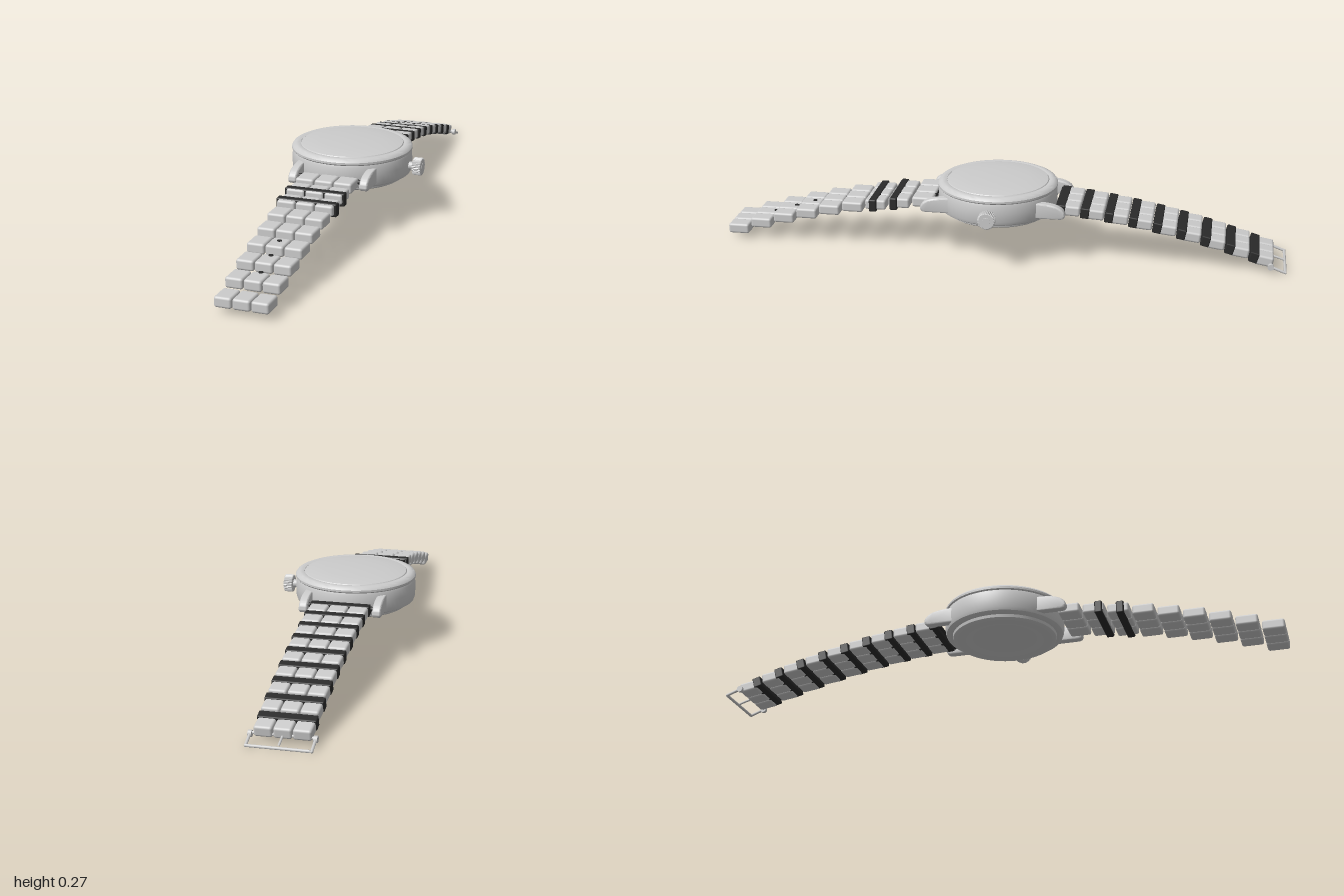
import * as THREE from 'three';
import { toCreasedNormals } from 'three/addons/utils/BufferGeometryUtils.js';
import { RoundedBoxGeometry } from 'three/addons/geometries/RoundedBoxGeometry.js';

const CX = -0.024, CZ = 0.02; // centre of the case

export function createModel() {
  const root = new THREE.Group();
  root.name = 'wristwatch';
  const steel = new THREE.MeshStandardMaterial({ color: 0xcccccc });
  steel.name = 'steel';
  const dark = new THREE.MeshStandardMaterial({ color: 0x2b2b2b });
  dark.name = 'dark leather';

  const add = (name, geo, mat, x = 0, y = 0, z = 0, parent = root) => {
    const m = new THREE.Mesh(geo, mat);
    m.name = name;
    m.position.set(x, y, z);
    parent.add(m);
    return m;
  };
  const lathe = pts => toCreasedNormals(
    new THREE.LatheGeometry(pts.map(p => new THREE.Vector2(...p)), 72), 0.6);

  // Case, bezel and domed glass
  add('case', lathe([[0, 0.146], [0.12, 0.146], [0.135, 0.139], [0.15, 0.137], [0.175, 0.138],
    [0.183, 0.143], [0.185, 0.153], [0.198, 0.154], [0.206, 0.159], [0.21, 0.17],
    [0.2115, 0.2], [0.21, 0.228], [0.207, 0.236], [0.19, 0.237]]), steel, CX, 0, CZ);
  add('bezel', lathe([[0.2, 0.234], [0.208, 0.235], [0.212, 0.239], [0.212, 0.246],
    [0.207, 0.253], [0.198, 0.257], [0.188, 0.258], [0.181, 0.256], [0.18, 0.25]]), steel, CX, 0, CZ);
  add('glass', lathe([[0.182, 0.253], [0.178, 0.258], [0.15, 0.262], [0.11, 0.2645],
    [0.06, 0.2665], [0, 0.267]]), steel, CX, 0, CZ);

  // Knurled crown on its stem
  const knurl = new THREE.Shape();
  const teeth = 32;
  for (let i = 0; i < teeth * 2; i++) {
    const a = i * Math.PI / teeth, r = i % 2 ? 0.0265 : 0.0285;
    knurl[i ? 'lineTo' : 'moveTo'](r * Math.cos(a), r * Math.sin(a));
  }
  knurl.closePath();
  const crown = new THREE.ExtrudeGeometry(knurl, {
    depth: 0.024, bevelSize: 0.003, bevelThickness: 0.004, bevelOffset: -0.001, bevelSegments: 2 });
  crown.rotateY(Math.PI / 2);
  add('crown', crown, steel, 0.207, 0.192, CZ);
  const cap = new THREE.CylinderGeometry(0.013, 0.015, 0.004, 24).rotateZ(-Math.PI / 2);
  add('crownCap', cap, steel, 0.234, 0.192, CZ);
  add('crownStem', new THREE.CylinderGeometry(0.014, 0.014, 0.04, 24).rotateZ(Math.PI / 2),
    steel, 0.19, 0.192, CZ);

  // Four lugs, drawn as a side profile
  const lugShape = new THREE.Shape();
  lugShape.moveTo(0.15, 0.173);
  lugShape.lineTo(0.235, 0.173);
  lugShape.quadraticCurveTo(0.25, 0.173, 0.249, 0.184);
  lugShape.quadraticCurveTo(0.246, 0.197, 0.23, 0.205);
  lugShape.quadraticCurveTo(0.205, 0.217, 0.15, 0.217);
  lugShape.closePath();
  for (const end of [1, -1]) for (const side of [1, -1]) {
    const g = new THREE.ExtrudeGeometry(lugShape, {
      depth: 0.018, bevelSize: 0.006, bevelThickness: 0.006, bevelSegments: 3, curveSegments: 8 });
    g.translate(0, 0, -0.009);
    g.rotateY(-end * Math.PI / 2);
    add('lug', toCreasedNormals(g, 0.7), steel, CX + side * 0.128, 0, CZ);
  }
  for (const end of [1, -1])
    add('springBar', new THREE.CylinderGeometry(0.008, 0.008, 0.25, 16).rotateZ(Math.PI / 2),
      dark, CX, 0.19, CZ + end * 0.222);

  // Strap curve and taper by distance from the case centre
  const height = d => 0.198 - 0.18 * d * d;
  const half = d => 0.106 - 0.016 * d;

  // One row of three links
  const row = (name, z, length, tilt) => {
    const d = Math.abs(z - CZ), w = half(d) * 2 / 3;
    const g = new THREE.Group();
    g.name = name;
    g.position.set(CX, height(d), z);
    g.rotation.x = tilt;
    const link = new RoundedBoxGeometry(w - 0.003, 0.036, length, 2, 0.008);
    for (const k of [-1, 0, 1]) add('link', link, steel, k * w, 0, 0, g);
    root.add(g);
  };
  for (let i = 0; i < 9; i++) {
    row('frontLinks', 0.275 + i * 0.0859, 0.075, 0);
    const z = -0.92 + i * 0.0838;
    row('backLinks', z, 0.066, -0.18 * Math.abs(z - CZ));

    // Dark joints between the back rows
    const zj = z + 0.034, dj = Math.abs(zj - CZ);
    const joint = add('joint', new RoundedBoxGeometry(half(dj) * 2 + 0.002, 0.037, 0.031, 1, 0.004),
      dark, CX, height(dj), zj);
    joint.rotation.x = -0.3 * dj;
  }

  // Two strap keepers
  for (const z of [0.38, 0.455])
    add('keeper', new RoundedBoxGeometry(0.211, 0.045, 0.027, 2, 0.005), dark,
      CX, height(z - CZ), z);

  // Adjustment holes as thin discs
  for (const [z, rowZ] of [[0.695, 0.7045], [0.765, 0.7904], [0.845, 0.8763]])
    add('hole', new THREE.CylinderGeometry(0.008, 0.008, 0.003, 12), dark,
      CX, height(rowZ - CZ) + 0.0185, z);

  // Buckle frame, pivot knobs and tongue
  const tube = (name, pts, r) => add(name, new THREE.TubeGeometry(
    new THREE.CatmullRomCurve3(pts.map(p => new THREE.Vector3(...p)), false, 'catmullrom', 0.1),
    24, r, 8), steel, CX, 0, 0);
  tube('buckleBar', [[-0.102, 0.006, -0.995], [0.102, 0.006, -0.995]], 0.005);
  tube('bucklePivot', [[-0.104, 0.026, -0.942], [0.104, 0.026, -0.942]], 0.005);
  tube('buckleTongue', [[0, 0.028, -0.94], [0, 0.02, -0.97], [0, 0.012, -0.994]], 0.004);
  for (const s of [-1, 1]) {
    tube('buckleArm', [[s * 0.101, 0.006, -0.995], [s * 0.101, 0.016, -0.968], [s * 0.101, 0.026, -0.942]], 0.005);
    add('buckleKnob', new THREE.CylinderGeometry(0.011, 0.011, 0.012, 16).rotateZ(Math.PI / 2),
      steel, CX + s * 0.101, 0.024, -0.945);
    add('buckleCorner', new THREE.SphereGeometry(0.005, 10, 8), steel, CX + s * 0.101, 0.006, -0.995);
  }
  return root;
}
